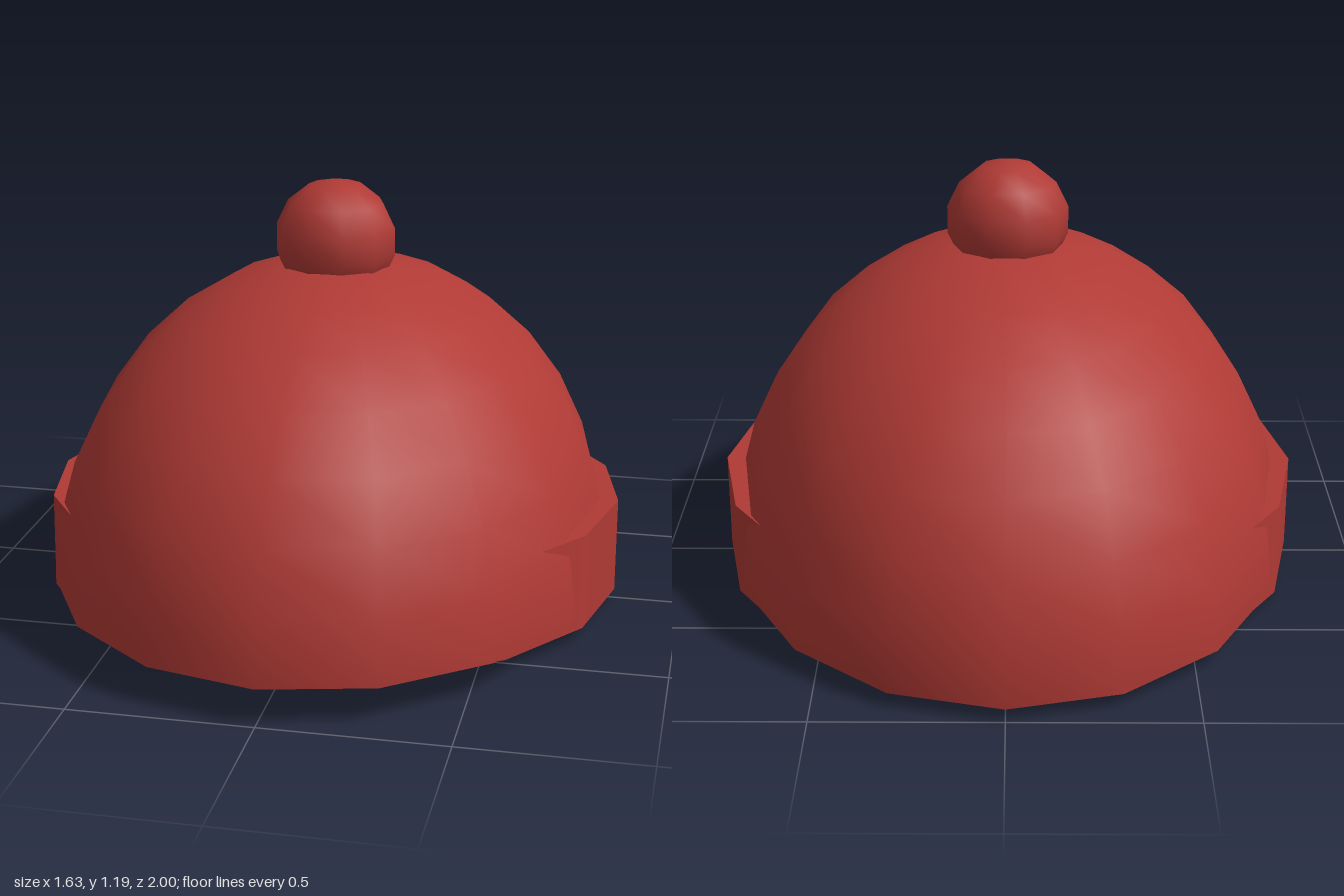
import * as THREE from 'three';

const red = new THREE.MeshStandardMaterial({ color: 0xb03a35 });
const redOpen = new THREE.MeshStandardMaterial({ color: 0xb03a35, side: THREE.DoubleSide });

function part(name, geometry, material, parent, y = 0, z = 0) {
  const mesh = new THREE.Mesh(geometry, material);
  mesh.name = name;
  mesh.position.set(0, y, z);
  parent.add(mesh);
  return mesh;
}

export function createModel() {
  const model = new THREE.Group();
  model.name = 'bobbleCap';

  // Crown and band tip back slightly, front edge raised
  const cap = new THREE.Group();
  cap.name = 'cap';
  cap.position.y = 0.073;
  cap.rotation.x = -0.034;
  model.add(cap);

  // Open half ellipsoid, longer front to back
  const dome = new THREE.SphereGeometry(1, 16, 8, 0, Math.PI * 2, 0, Math.PI / 2);
  dome.scale(0.79, 0.893, 1);
  part('crown', dome, redOpen, cap);

  // Round band that pokes out of the crown at both sides and below
  part('band', new THREE.CylinderGeometry(0.815, 0.815, 0.268, 16), red, cap, 0.091, 0.003);

  // Bobble on top
  part('bobble', new THREE.SphereGeometry(0.173, 10, 7), red, model, 1.019, 0.004);

  return model;
}
